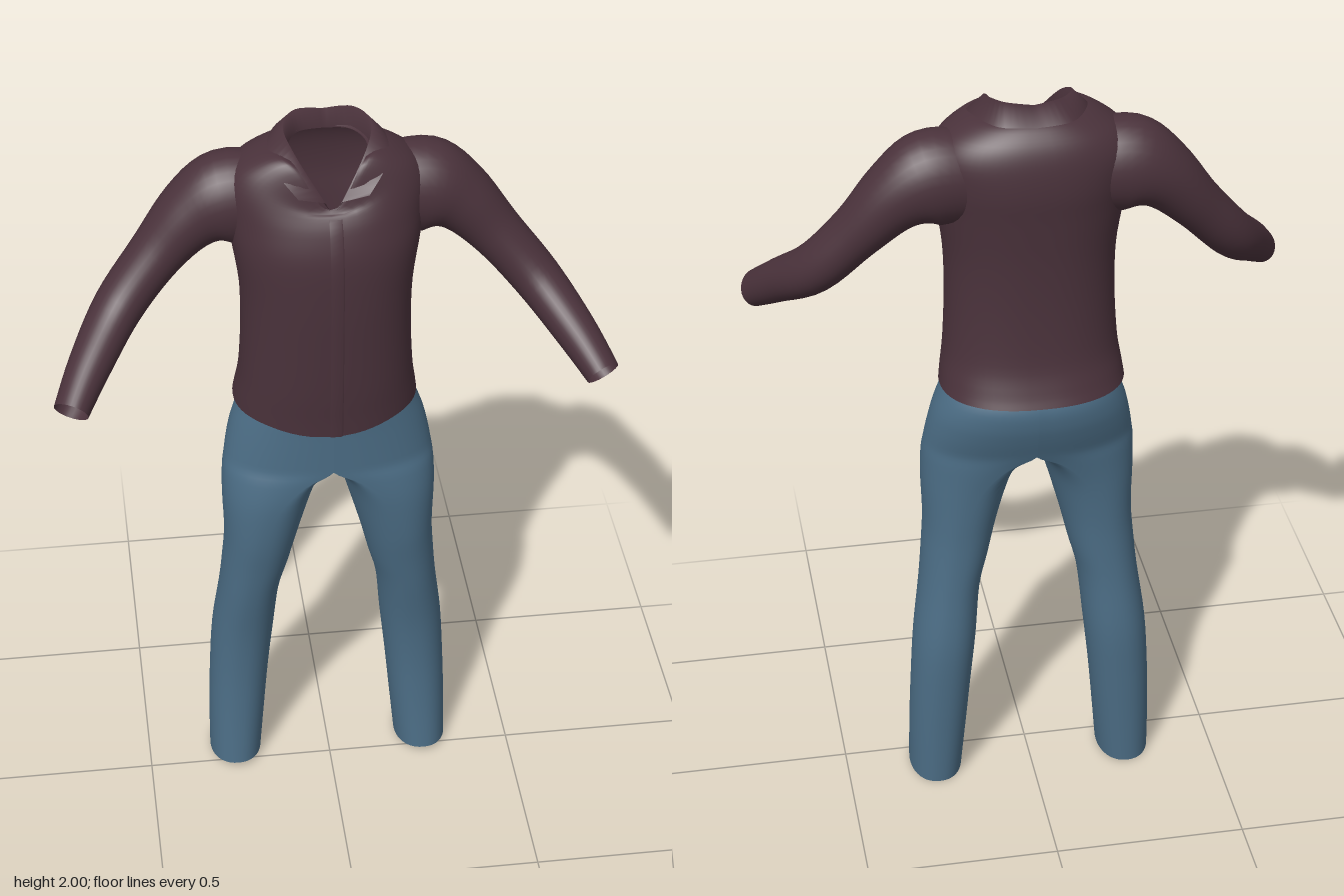
import * as THREE from 'three';

const V = (x, y, z) => new THREE.Vector3(x, y, z);
const spow = (v, e) => Math.sign(v) * Math.abs(v) ** e;

// Smoothly resample a table of cross-section numbers, n steps per interval
function resample(table, n) {
  const out = [];
  const last = table.length - 1;
  const at = (i) => table[Math.min(last, Math.max(0, i))];
  for (let s = 0; s <= last * n; s++) {
    const i = Math.min(last - 1, Math.floor(s / n));
    const t = s / n - i;
    const [a, b, c, d] = [at(i - 1), at(i), at(i + 1), at(i + 2)];
    out.push(b.map((p, k) => {
      const m0 = (c[k] - a[k]) / 2, m1 = (d[k] - p) / 2;
      return p + m0 * t + (3 * (c[k] - p) - 2 * m0 - m1) * t * t + (2 * (p - c[k]) + m0 + m1) * t ** 3;
    }));
  }
  return out;
}

// Skin over rows of points; faces lying on the centre plane can be dropped
function skin(rows, closed, dropCentre = false) {
  const n = rows[0].length;
  const index = [];
  for (let i = 0; i < rows.length - 1; i++) {
    for (let j = 0; j < (closed ? n : n - 1); j++) {
      const k = (j + 1) % n;
      const quad = [rows[i][j], rows[i + 1][j], rows[i][k], rows[i + 1][k]];
      if (dropCentre && quad.every((p) => p.x < 1e-4)) continue;
      const a = i * n + j, b = (i + 1) * n + j, c = i * n + k, d = (i + 1) * n + k;
      index.push(a, b, c, c, b, d);
    }
  }
  const g = new THREE.BufferGeometry().setFromPoints(rows.flat());
  g.setIndex(index);
  g.computeVertexNormals();
  return g;
}

function ring(n, point) {
  return Array.from({ length: n }, (_, j) => point((j / n) * Math.PI * 2));
}

// Torso sections: y, half width, front z, back z, drop at the front centre
const TORSO = [
  [1.215, 0.235, 0.11, -0.245, 0.028],
  [1.25, 0.23, 0.113, -0.23, 0.015],
  [1.32, 0.22, 0.12, -0.21, 0],
  [1.45, 0.213, 0.126, -0.2, 0],
  [1.58, 0.215, 0.13, -0.2, 0],
  [1.7, 0.232, 0.127, -0.208, 0],
  [1.78, 0.243, 0.108, -0.215, 0.005],
  [1.85, 0.248, 0.088, -0.21, 0.035],
  [1.9, 0.222, 0.078, -0.195, 0.077],
  [1.935, 0.17, 0.074, -0.17, 0.108],
  [1.95, 0.125, 0.072, -0.148, 0.121],
  [1.945, 0.1, 0.07, -0.132, 0.113],
];

function torsoGeometry() {
  const rows = resample(TORSO, 4).map(([y, w, zf, zb, drop]) => ring(64, (a) => {
    const s = Math.sin(a);
    return V(
      w * spow(Math.cos(a), 0.85) - 0.006,
      y - drop * Math.max(0, s) ** 6,
      (zf + zb) / 2 + ((zf - zb) / 2) * spow(s, 0.9),
    );
  }));
  return skin(rows, true);
}

// Sleeve sections: centre x, y, z, radius across the arm, radius front to back
const SLEEVE = [
  [0.16, 1.795, -0.075, 0.115, 0.1],
  [0.25, 1.795, -0.08, 0.12, 0.104],
  [0.33, 1.755, -0.078, 0.088, 0.092],
  [0.42, 1.66, -0.06, 0.067, 0.076],
  [0.52, 1.545, -0.012, 0.061, 0.07],
  [0.6, 1.455, 0.1, 0.053, 0.058],
  [0.655, 1.385, 0.195, 0.043, 0.05],
];

function sleeveGeometry() {
  const secs = resample(SLEEVE, 5);
  const rows = secs.map(([x, y, z, ru, rs], i) => {
    const p = secs[Math.max(0, i - 1)], q = secs[Math.min(secs.length - 1, i + 1)];
    const dir = V(q[0] - p[0], q[1] - p[1], q[2] - p[2]).normalize();
    const side = V(0, 0, 1).addScaledVector(dir, -dir.z).normalize();
    const up = side.clone().cross(dir);
    return ring(32, (a) => V(x, y, z)
      .addScaledVector(side, rs * Math.cos(a))
      .addScaledVector(up, ru * Math.sin(a)));
  });
  return skin(rows, true);
}

// Leg sections: y, inner x, outer x, front z, back z, roundness of the inner side
const LEG = [
  [0.012, 0.19, 0.33, 0.035, -0.16, 1],
  [0.15, 0.177, 0.328, 0.022, -0.165, 1],
  [0.3, 0.163, 0.322, 0.015, -0.17, 1],
  [0.45, 0.147, 0.312, 0.022, -0.172, 1],
  [0.6, 0.132, 0.292, 0.045, -0.158, 1],
  [0.7, 0.107, 0.282, 0.06, -0.152, 1],
  [0.8, 0.083, 0.275, 0.075, -0.15, 1],
  [0.92, 0.05, 0.278, 0.084, -0.156, 0.8],
  [1.0, 0.025, 0.276, 0.085, -0.17, 0.4],
  [1.045, 0, 0.27, 0.085, -0.185, 0],
  [1.1, 0, 0.26, 0.085, -0.205, 0],
  [1.15, 0, 0.247, 0.085, -0.218, 0],
  [1.2, 0, 0.228, 0.085, -0.218, 0],
  [1.26, 0, 0.205, 0.078, -0.19, 0],
];

function legGeometry() {
  const rows = resample(LEG, 4).map(([y, xi, xo, zf, zb, k]) => ring(48, (a) => {
    const c = spow(Math.cos(a), 0.9), s = spow(Math.sin(a), 0.95);
    const inner = y > 1.044 ? 0 : Math.max(0, xi);
    const round = Math.min(1, Math.max(0, y > 1.044 ? 0 : k));
    const half = inner + (xo - inner) * Math.max(0, c);
    const full = (inner + xo) / 2 + ((xo - inner) / 2) * c;
    return V(half + (full - half) * round, y + 0.008 * s, (zf + zb) / 2 + ((zf - zb) / 2) * s);
  }));
  return skin(rows, true, true);
}

// Folded collar: curves for the inner base, top fold and outer edge, back to front
const COLLAR = [
  [[0, 1.94, -0.131], [0.065, 1.94, -0.117], [0.097, 1.935, -0.05], [0.08, 1.91, 0.015], [0.008, 1.832, 0.076]],
  [[0, 1.992, -0.135], [0.07, 2.0, -0.122], [0.106, 1.993, -0.06], [0.085, 1.955, 0.012], [0.02, 1.855, 0.076]],
  [[0, 1.952, -0.178], [0.09, 1.955, -0.162], [0.142, 1.953, -0.07], [0.135, 1.925, 0.025], [0.085, 1.873, 0.083]],
];

function collarGeometry() {
  const rows = COLLAR.map((pts) => {
    const half = resample(pts, 6);
    const mirrored = half.slice(1).reverse().map(([x, y, z]) => [-x, y, z]);
    return [...mirrored, ...half].map(([x, y, z]) => V(x, y, z));
  });
  return skin(rows, false);
}

// Narrow overlapping front edge that follows the chest
function placketGeometry() {
  const secs = resample(TORSO.slice(0, 8), 4);
  const rows = secs.map(([y, , zf, , drop]) =>
    [[0.022, -0.002], [0.016, 0.003], [-0.012, 0.003], [-0.014, -0.004]]
      .map(([x, dz]) => V(x, y - drop, zf + dz)));
  return skin(rows, false);
}

export function createModel() {
  const shirt = new THREE.MeshStandardMaterial({ color: 0x4a323b, side: THREE.DoubleSide });
  shirt.name = 'plum cloth';
  const denim = new THREE.MeshStandardMaterial({ color: 0x4b6c84, side: THREE.DoubleSide });
  denim.name = 'blue denim';

  const model = new THREE.Group();
  model.name = 'outfit';
  const add = (name, geometry, material, mirror = 1) => {
    const mesh = new THREE.Mesh(geometry, material);
    mesh.name = name;
    mesh.scale.x = mirror;
    model.add(mesh);
  };

  add('shirtBody', torsoGeometry(), shirt);
  add('collar', collarGeometry(), shirt);
  add('placket', placketGeometry(), shirt);

  // Mirrored sleeves and trouser legs
  const sleeve = sleeveGeometry();
  const leg = legGeometry();
  for (const [side, sign] of [['left', 1], ['right', -1]]) {
    add(`${side}Sleeve`, sleeve, shirt, sign);
    add(`${side}TrouserLeg`, leg, denim, sign);
  }
  return model;
}
